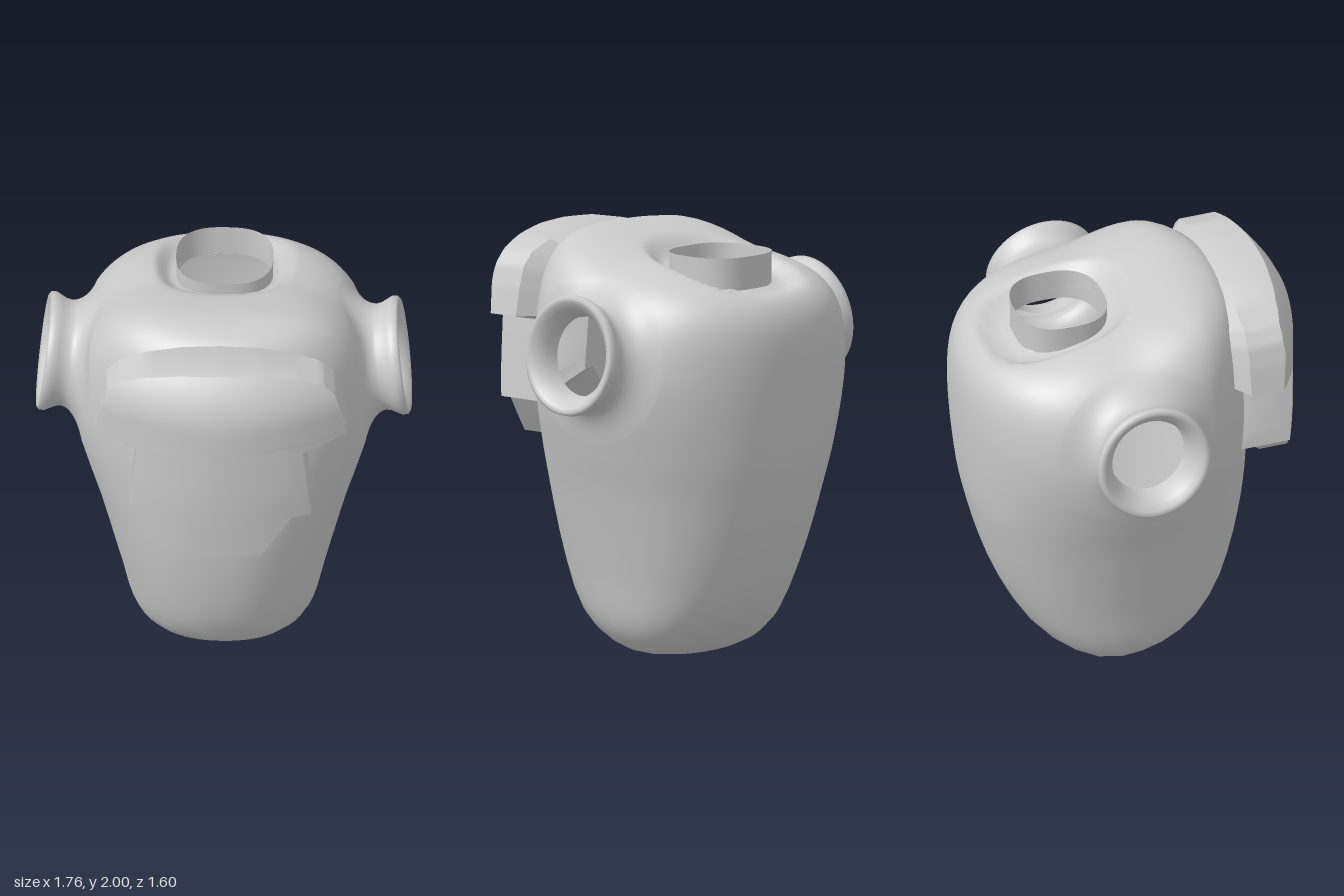
import * as THREE from 'three';
import { toCreasedNormals } from 'three/addons/utils/BufferGeometryUtils.js';

// Skin a list of closed rings of Vector3; keep(a, b, c) can leave faces out
function skin(rings, keep = () => true) {
  const n = rings[0].length, pos = [], idx = [];
  rings.forEach(r => r.forEach(p => pos.push(p.x, p.y, p.z)));
  for (let i = 0; i < rings.length - 1; i++) {
    for (let j = 0; j < n; j++) {
      const k = (j + 1) % n;
      const a = i * n + j, b = a + n, c = (i + 1) * n + k, d = i * n + k;
      if (keep(a, b, c)) idx.push(a, b, c);
      if (keep(a, c, d)) idx.push(a, c, d);
    }
  }
  const g = new THREE.BufferGeometry();
  g.setAttribute('position', new THREE.Float32BufferAttribute(pos, 3));
  g.setIndex(idx);
  g.computeVertexNormals();
  return g;
}

// Smooth curve through [position, value] pairs
function profile(pts) {
  const m = pts.map((p, i) => {
    const a = pts[Math.max(i - 1, 0)], b = pts[Math.min(i + 1, pts.length - 1)];
    return (b[1] - a[1]) / (b[0] - a[0]);
  });
  return y => {
    if (y >= pts[pts.length - 1][0]) return pts[pts.length - 1][1];
    let i = 0;
    while (y > pts[i + 1][0]) i++;
    const h = pts[i + 1][0] - pts[i][0], t = (y - pts[i][0]) / h, u = 1 - t;
    return pts[i][1] * (1 + 2 * t) * u * u + m[i] * h * t * u * u
      + pts[i + 1][1] * t * t * (3 - 2 * t) - m[i + 1] * h * t * t * u;
  };
}

// Half width, front and back of the torso by height
const halfWidth = profile([[0, 0.1], [0.02, 0.27], [0.08, 0.37], [0.17, 0.43], [0.4, 0.485],
  [0.8, 0.585], [1, 0.645], [1.2, 0.7], [1.4, 0.73], [2, 0.74]]);
const front = profile([[0, 0], [0.02, 0.12], [0.08, 0.26], [0.2, 0.4], [0.4, 0.49],
  [0.8, 0.56], [1.2, 0.57], [1.6, 0.55], [2.1, 0.52]]);
const back = profile([[0, -0.17], [0.02, -0.25], [0.08, -0.37], [0.2, -0.49], [0.4, -0.6],
  [0.6, -0.675], [0.8, -0.73], [1, -0.77], [1.4, -0.8], [2.1, -0.8]]);

// Below 1 inside the torso, above 1 outside
function bodyField(x, y, z) {
  if (y < 0) return 2;
  const sx = Math.abs(x) / halfWidth(y), dz = z + 0.1;
  const sz = dz > 0 ? dz / (front(y) + 0.1) : dz / (back(y) + 0.1);
  const s = Math.pow(sx ** 2.2 + sz ** 2.2, 1 / 2.2);
  const top = z < 0.25 ? 2 + (z - 0.25) * 0.23 : 2;
  const t = Math.max(0, (y - 1) / (top - 1));
  const k = 3.5 + 4.5 * sz * sz / (sx * sx + sz * sz + 1e-6);
  return s ** k + t ** k;
}

const SEG = 88;
const CENTRE = new THREE.Vector3(0, 1.48, -0.11);

// Point on the torso hit by a ray from the arm axis
function bodyPoint(phi, theta) {
  const dir = new THREE.Vector3(Math.cos(phi), Math.sin(phi) * Math.cos(theta), Math.sin(phi) * Math.sin(theta));
  let lo = 0, hi = 2;
  for (let i = 0; i < 24; i++) {
    const mid = (lo + hi) / 2, p = dir.clone().multiplyScalar(mid).add(CENTRE);
    if (bodyField(p.x, p.y, p.z) < 1) lo = mid; else hi = mid;
  }
  return dir.multiplyScalar(lo).add(CENTRE);
}

const ringOf = fn => Array.from({ length: SEG }, (_, j) => fn(j / SEG * Math.PI * 2));

// Circle round the tilted arm axis; t is the distance out from the rim
const armPoint = (t, r, a) => new THREE.Vector3(
  0.835 + 0.992 * t - 0.124 * r * Math.cos(a),
  1.495 + 0.124 * t + 0.992 * r * Math.cos(a),
  -0.11 + 0.965 * r * Math.sin(a));

// Neck opening and the recess round it, as rounded squares in plan
const NECK = { x: 0.225, z: 0.215, cz: -0.305 };
const neckNorm = p => Math.pow(Math.abs(p.x / NECK.x) ** 2.6 + Math.abs((p.z - NECK.cz) / NECK.z) ** 2.6, 1 / 2.6);
const recessNorm = p => Math.pow(Math.abs(p.x / 0.31) ** 2.6 + Math.abs((p.z + 0.33) / 0.34) ** 2.6, 1 / 2.6);

function torsoGeometry() {
  const PHI = 0.56, ROWS = 84, side = [];
  // Socket lip from the inner hole round to its neck
  const lip = [[-0.12, 0.188], [-0.06, 0.196], [-0.02, 0.222], [0.003, 0.25], [0.01, 0.268], [0, 0.281],
    [-0.025, 0.283], [-0.05, 0.27], [-0.075, 0.257], [-0.1, 0.252]];
  lip.forEach(([t, r]) => side.push(ringOf(a => armPoint(t, r, a))));
  // Flare from the socket neck into the torso
  for (let i = 1; i < 8; i++) {
    const u = i / 8;
    side.push(ringOf(a => armPoint(-0.1, 0.252, a).multiplyScalar((1 - u) ** 2)
      .addScaledVector(armPoint(-0.17, 0.258, a), 2 * u * (1 - u))
      .addScaledVector(bodyPoint(PHI, a), u * u)));
  }
  const rings = [...side];
  for (let i = 0; i <= ROWS; i++) {
    const phi = PHI + (Math.PI - 2 * PHI) * i / ROWS;
    rings.push(ringOf(a => bodyPoint(phi, a)));
  }
  side.reverse().forEach(r => rings.push(r.map(p => new THREE.Vector3(-p.x, p.y, p.z))));

  // Sink the recess and open the neck hole
  const inside = [];
  rings.flat().forEach((p, i) => {
    if (p.y < 1.65) return;
    p.y -= 0.065 * (1 - THREE.MathUtils.smoothstep(recessNorm(p), 0.8, 1.08));
    const q = neckNorm(p);
    if (q < 1) {
      inside[i] = true;
      p.x /= Math.max(q, 0.01);
      p.z = NECK.cz + (p.z - NECK.cz) / Math.max(q, 0.01);
    }
  });
  return skin(rings, (a, b, c) => !(inside[a] && inside[b] && inside[c]));
}

function collarGeometry() {
  const pw = v => Math.sign(v) * Math.abs(v) ** (2 / 2.6);
  return skin([[1.76, 1], [1.84, 1], [1.915, 1.01]].map(([y, s]) => ringOf(a => new THREE.Vector3(
    NECK.x * s * pw(Math.sin(a)), y, NECK.cz + NECK.z * s * pw(Math.cos(a))))).reverse());
}

function plateGeometry() {
  // Right half of the outline, bottom to top
  const half = [[0, 0.975], [0.19, 0.975], [0.335, 1.18], [0.425, 1.17], [0.385, 1.55], [0.59, 1.59],
    [0.565, 1.72], [0.535, 1.82], [0.475, 1.885], [0.35, 1.93], [0.18, 1.96], [0, 1.968]];
  const mirrored = half.slice(1, -1).reverse().map(([x, y]) => [-x, y]);
  const corners = [...half, ...mirrored], outline = [];
  corners.forEach(([x, y], i) => {
    const [x2, y2] = corners[(i + 1) % corners.length];
    for (let k = 0; k < 4; k++) outline.push([x + (x2 - x) * k / 4, y + (y2 - y) * k / 4]);
  });
  const face = (x, y) => 0.8 - 0.55 * x * x - 0.11 * (Math.max(0, y - 1.72) / 0.24) ** 2
    - 0.02 * Math.max(0, 1.3 - y) / 0.3;
  const ring = (s, z) => outline.map(([x, y]) => {
    const px = x * s, py = 1.6 + (y - 1.6) * s;
    return new THREE.Vector3(px, py, z(px, py));
  });
  // Bulged face, then side walls, then a taper into the torso
  const rings = [0.01, 0.2, 0.4, 0.6, 0.75, 0.87, 0.95, 1].map(s => ring(s, face));
  rings.push(ring(1, (x, y) => 0.45 + 0.17 * (1 - THREE.MathUtils.smoothstep(y, 1, 1.2))));
  rings.push(ring(0.65, () => 0.3));
  return toCreasedNormals(skin(rings), 0.75);
}

export function createModel() {
  const group = new THREE.Group();
  const material = new THREE.MeshStandardMaterial({ color: 0xcccccc, side: THREE.DoubleSide });
  const add = (name, geometry) => {
    const mesh = new THREE.Mesh(geometry, material);
    mesh.name = name;
    group.add(mesh);
  };
  add('torsoShell', torsoGeometry());
  add('neckCollar', collarGeometry());
  add('chestPlate', plateGeometry());
  return group;
}
